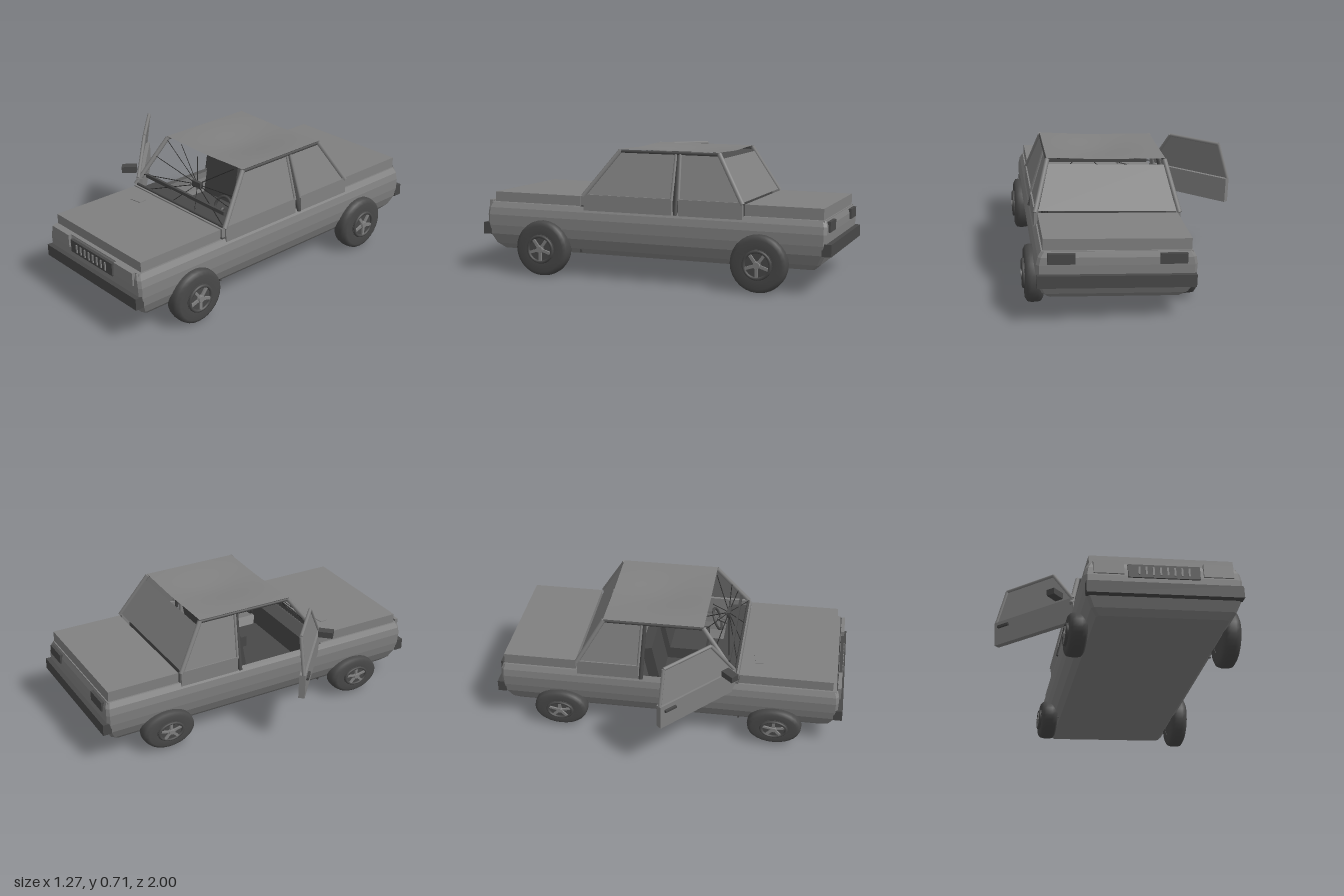
import * as THREE from 'three';

export function createModel() {
  const mat = (name, color, side = THREE.DoubleSide) => {
    const m = new THREE.MeshStandardMaterial({ color, side });
    m.name = name;
    return m;
  };
  const grey = mat('body grey', 0x808080);
  const dark = mat('dark trim', 0x484848);
  const black = mat('crack black', 0x2a2a2a);
  const V = (x, y, z) => new THREE.Vector3(x, y, z);

  const model = new THREE.Group();
  model.name = 'car';
  // Body leans slightly to one side about its long axis
  const lean = new THREE.Group();
  lean.name = 'leaningBody';
  lean.position.set(0.16, 0.3, 0);
  lean.rotation.z = 0.041;
  const car = new THREE.Group();
  car.name = 'bodywork';
  car.position.y = -0.3;
  lean.add(car);
  model.add(lean);

  const add = (parent, name, geo, m, x = 0, y = 0, z = 0) => {
    const mesh = new THREE.Mesh(geo, m);
    mesh.name = name;
    mesh.position.set(x, y, z);
    parent.add(mesh);
    return mesh;
  };
  const box = (parent, name, m, w, h, d, x, y, z) =>
    add(parent, name, new THREE.BoxGeometry(w, h, d), m, x, y, z);
  const rod = (parent, name, m, a, b, r, sides = 8) => {
    const mesh = add(parent, name, new THREE.CylinderGeometry(r, r, a.distanceTo(b), sides), m);
    mesh.position.copy(a).add(b).multiplyScalar(0.5);
    mesh.quaternion.setFromUnitVectors(V(0, 1, 0), b.clone().sub(a).normalize());
    return mesh;
  };
  // Flat panel fanned from corner points
  const panel = (name, m, pts) => {
    const pos = [];
    for (let i = 1; i < pts.length - 1; i++)
      for (const p of [pts[0], pts[i], pts[i + 1]]) pos.push(p.x, p.y, p.z);
    const g = new THREE.BufferGeometry();
    g.setAttribute('position', new THREE.Float32BufferAttribute(pos, 3));
    g.computeVertexNormals();
    return add(car, name, g, m);
  };

  // Lower body shell: rectangles with clipped corners, stacked upwards [y, halfX, halfZ]
  const rings = [[0.115, 0.345, 0.9], [0.145, 0.375, 0.935], [0.2, 0.4, 0.962], [0.25, 0.408, 0.97],
    [0.31, 0.41, 0.972], [0.35, 0.402, 0.97], [0.38, 0.385, 0.96]]
    .map(([y, a, b]) => {
      const c = 0.015;
      return [[a, c - b], [a, b - c], [a - c, b], [c - a, b], [-a, b - c], [-a, c - b], [c - a, -b], [a - c, -b]]
        .map(([x, z]) => V(x, y, z));
    });
  const shell = [];
  for (let i = 0; i < rings.length - 1; i++)
    for (let j = 0; j < 8; j++) {
      const k = (j + 1) % 8, [lo, hi] = [rings[i], rings[i + 1]];
      for (const p of [lo[j], hi[j], hi[k], lo[j], hi[k], lo[k]]) shell.push(p.x, p.y, p.z);
    }
  const shellGeo = new THREE.BufferGeometry();
  shellGeo.setAttribute('position', new THREE.Float32BufferAttribute(shell, 3));
  shellGeo.computeVertexNormals();
  add(car, 'bodyShell', shellGeo, grey);
  panel('underside', grey, rings[0]);
  box(car, 'cabinFloor', dark, 0.7, 0.01, 0.95, 0, 0.16, -0.06);

  // Decks, lids and bulkheads
  box(car, 'frontDeck', grey, 0.77, 0.01, 0.55, 0, 0.375, 0.68);
  box(car, 'rearDeck', grey, 0.77, 0.01, 0.43, 0, 0.375, -0.74);
  box(car, 'hood', grey, 0.756, 0.055, 0.525, 0, 0.41, 0.672);
  box(car, 'trunkLid', grey, 0.756, 0.06, 0.42, 0, 0.412, -0.74);
  box(car, 'firewall', dark, 0.74, 0.27, 0.01, 0, 0.26, 0.41);
  box(car, 'rearBulkhead', dark, 0.74, 0.26, 0.01, 0, 0.25, -0.53);
  box(car, 'cowl', grey, 0.77, 0.05, 0.025, 0, 0.415, 0.392);
  const dent = box(car, 'hoodPatch', grey, 0.075, 0.004, 0.045, -0.215, 0.439, 0.505);
  dent.rotation.y = 0.15;

  // Front and rear ends
  for (const s of [1, -1]) {
    box(car, s > 0 ? 'frontBumper' : 'rearBumper', dark, 0.81, 0.065, 0.05, 0, 0.23, s * 0.973);
    box(car, 'headlight', grey, 0.157, 0.072, 0.02, s * 0.285, 0.352, 0.971);
    box(car, 'taillight', dark, 0.14, 0.055, 0.02, s * 0.285, 0.345, -0.971);
  }
  box(car, 'grille', dark, 0.374, 0.072, 0.02, 0, 0.335, 0.971);
  for (let i = 0; i < 8; i++) box(car, 'grilleBar', grey, 0.01, 0.045, 0.008, -0.13 + i * 0.037, 0.335, 0.983);

  // Roof sheet with a shallow dent
  const roof = new THREE.PlaneGeometry(0.65, 0.57, 20, 20).rotateX(-Math.PI / 2);
  const rp = roof.attributes.position;
  for (let i = 0; i < rp.count; i++) {
    const x = rp.getX(i), z = rp.getZ(i);
    const edge = Math.cos(x / 0.65 * Math.PI);
    rp.setY(i, -0.026 * edge * Math.exp(-(z * z + (x - 0.03) ** 2) / 0.06));
  }
  roof.computeVertexNormals();
  add(car, 'roof', roof, grey, 0, 0.702, -0.085);

  // Pillars, side glass and belt panels
  const front = (s, t) => V(s * (0.39 - 0.068 * t), 0.44 + 0.25 * t, 0.39 - 0.19 * t);
  const rear = (s, t) => V(s * (0.39 - 0.068 * t), 0.44 + 0.25 * t, -0.52 + 0.15 * t);
  const middle = (s, t, z) => V(s * (0.39 - 0.068 * t), 0.44 + 0.25 * t, z);
  for (const s of [1, -1]) {
    rod(car, 'frontPillar', grey, front(s, 0), front(s, 1.02), 0.013);
    rod(car, 'rearPillar', grey, rear(s, 0), rear(s, 1.02), 0.013);
    rod(car, 'middlePillar', dark, middle(s * 0.97, -0.3, -0.15), middle(s * 0.97, 1, -0.135), 0.012);
    panel('rearSideWindow', grey, [rear(s, 0), middle(s, 0, -0.165), middle(s, 0.98, -0.15), rear(s, 0.98)]);
    box(car, 'rearDoorTop', grey, 0.025, 0.1, 0.355, s * 0.383, 0.4, -0.342);
    rod(car, 'rearWindowFrame', grey, middle(s, 0, -0.165), middle(s, 0.98, -0.15), 0.008);
    rod(car, 'roofRail', dark, front(s, 1), rear(s, 1), 0.009);
  }
  panel('frontSideWindow', grey, [front(1, 0), front(1, 0.98), middle(1, 0.98, -0.125), middle(1, 0, -0.125)]);
  box(car, 'frontDoorTop', grey, 0.025, 0.1, 0.51, 0.383, 0.4, 0.13);
  rod(car, 'frontWindowFrame', grey, middle(1, 0, -0.125), middle(1, 0.98, -0.125), 0.008);
  panel('rearWindow', grey, [rear(0.96, 0.03), rear(0.96, 0.92), rear(-0.96, 0.92), rear(-0.96, 0.03)]);

  // Broken windshield: cracks spreading from the inside mirror
  const hub = front(0.17, 0.48);
  for (const [s, t] of [[-0.97, 0.97], [-0.6, 1], [-0.1, 0.92], [-0.98, 0.62], [-0.98, 0.22], [-0.7, 0.02],
    [-0.15, 0.02], [0.35, 0.02], [0.95, 0.03], [0.97, 0.35], [0.97, 0.55], [0.8, 0.98]])
    rod(car, 'windshieldCrack', black, hub, front(s, t), 0.0025, 4);
  box(car, 'insideMirror', dark, 0.07, 0.035, 0.02, hub.x, hub.y, hub.z);
  box(car, 'windshieldStrip', dark, 0.68, 0.02, 0.015, 0, 0.497, 0.345);
  rod(car, 'windshieldSill', dark, front(0.97, 0.02), front(-0.97, 0.02), 0.008);

  // Interior
  box(car, 'dashboard', dark, 0.7, 0.09, 0.1, 0, 0.385, 0.33);
  for (const s of [1, -1]) {
    box(car, 'seatCushion', dark, 0.26, 0.08, 0.24, s * 0.18, 0.24, 0.04);
    const back = box(car, 'seatBack', dark, 0.26, 0.28, 0.06, s * 0.18, 0.38, -0.1);
    back.rotation.x = -0.2;
  }
  box(car, 'rearBenchCushion', dark, 0.64, 0.09, 0.2, 0, 0.25, -0.36);
  box(car, 'rearBenchBack', dark, 0.64, 0.2, 0.05, 0, 0.34, -0.47);
  const steering = add(car, 'steeringWheel', new THREE.TorusGeometry(0.065, 0.008, 8, 24), dark, 0.18, 0.43, 0.22);
  steering.rotation.x = -0.4;
  rod(car, 'steeringColumn', dark, V(0.18, 0.43, 0.22), V(0.18, 0.39, 0.32), 0.01);

  // Open front door, swung on its front hinge
  const door = new THREE.Group();
  door.name = 'openDoor';
  door.position.set(-0.385, 0, 0.39);
  door.rotation.y = THREE.MathUtils.degToRad(138);
  car.add(door);
  box(door, 'doorPanel', grey, 0.54, 0.142, 0.035, 0.27, 0.406, 0.018);
  const outline = [V(0.005, 0.477, 0.012), V(0.15, 0.68, 0.045), V(0.48, 0.68, 0.045), V(0.535, 0.477, 0.012)];
  for (let i = 0; i < 3; i++) rod(door, 'doorWindowFrame', grey, outline[i], outline[i + 1], 0.01);
  door.add(panel('doorWindow', grey, outline));
  box(door, 'doorHandle', dark, 0.075, 0.014, 0.014, 0.475, 0.443, -0.006);
  box(door, 'doorMirror', dark, 0.05, 0.036, 0.085, 0.085, 0.503, -0.045);

  // Wheels: round on one side, pressed flat on the other
  const tyreProfile = [[0.08, -0.045], [0.13, -0.048], [0.15, -0.036], [0.155, -0.015], [0.155, 0.015],
    [0.15, 0.036], [0.13, 0.048], [0.08, 0.045]].map(([r, h]) => new THREE.Vector2(r, h));
  const tyreGeo = new THREE.LatheGeometry(tyreProfile, 28);
  const discGeo = new THREE.CylinderGeometry(0.082, 0.082, 0.09, 28);
  const rimGeo = new THREE.TorusGeometry(0.072, 0.009, 8, 28).rotateX(Math.PI / 2);
  for (const s of [1, -1])
    for (const z of [0.62, -0.62]) {
      const wheel = new THREE.Group();
      wheel.name = (z > 0 ? 'front' : 'rear') + (s > 0 ? 'LeftWheel' : 'RightWheel');
      const squash = s > 0 ? 1 : 0.69;
      wheel.position.set(s > 0 ? 0.568 : -0.243, s > 0 ? 0.157 : 0.12, z);
      wheel.scale.y = squash;
      model.add(wheel);
      const axle = new THREE.Group();
      axle.name = 'axle';
      axle.rotation.z = -s * Math.PI / 2;
      wheel.add(axle);
      add(axle, 'tyre', tyreGeo, dark);
      add(axle, 'hubDisc', discGeo, dark, 0, 0.003, 0);
      add(axle, 'rim', rimGeo, dark, 0, 0.052, 0);
      add(axle, 'hubCap', new THREE.CylinderGeometry(0.018, 0.022, 0.02, 12), grey, 0, 0.055, 0);
      for (let i = 0; i < 5; i++) {
        const a = i * Math.PI * 0.4;
        const spoke = box(axle, 'spoke', grey, 0.064, 0.012, 0.016, Math.cos(a) * 0.04, 0.052, Math.sin(a) * 0.04);
        spoke.rotation.y = -a;
      }
    }
  return model;
}
